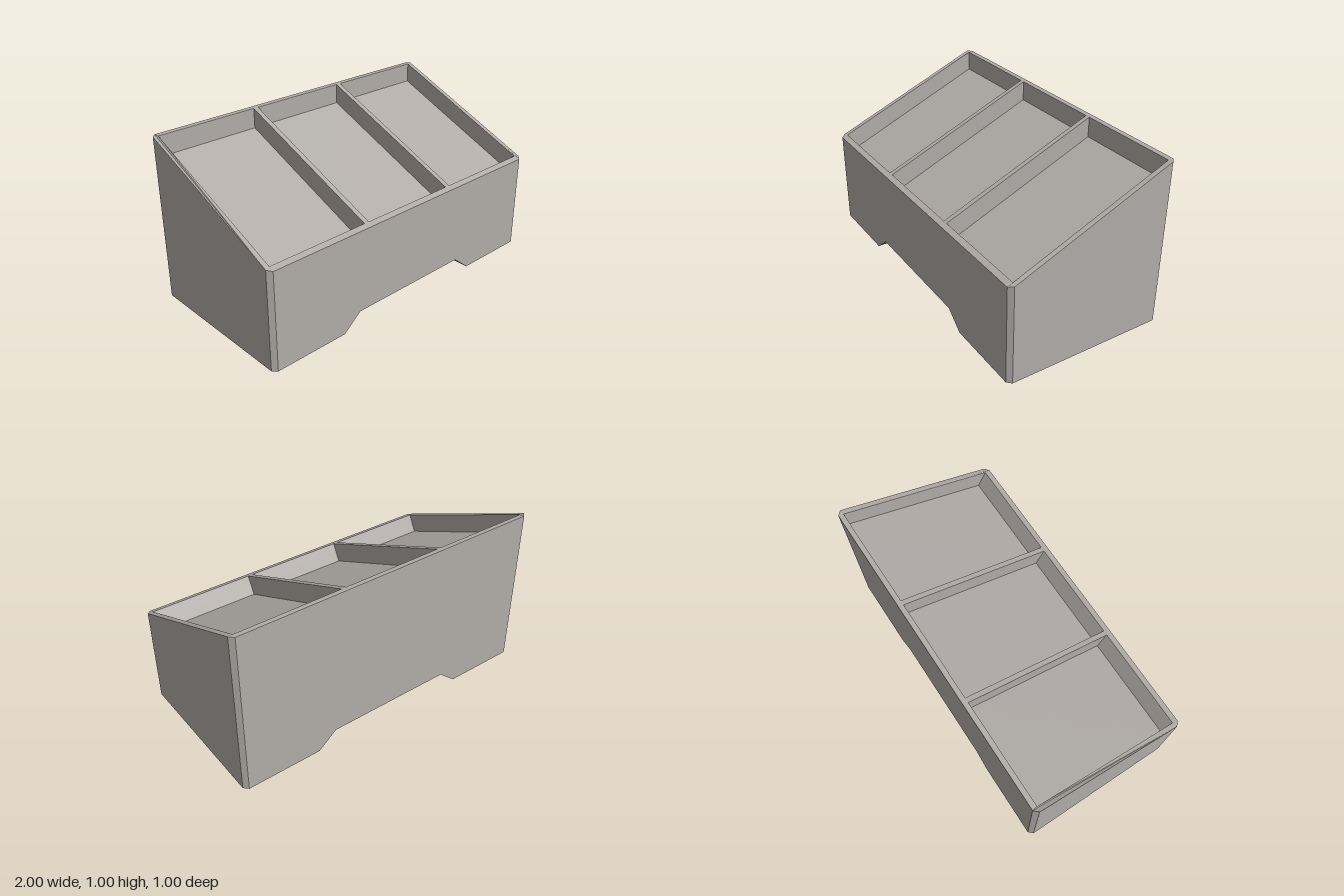
import * as THREE from 'three';

const grey = new THREE.MeshStandardMaterial({ color: 0xb0aba7 });
grey.name = 'warm grey';

// Height of the sloped rim, with a nearly flat lip at the front and a flat one at the back
const rimY = (z) => (z > 0.475 ? 0.6 - (z - 0.475) * 0.28 : Math.min(1, 0.6 + (0.475 - z) * 0.421));
// Height of the underside, raised in the middle
const baseY = (x) => THREE.MathUtils.clamp(((0.515 - Math.abs(x)) / 0.115) * 0.095, 0, 0.095);

// Flat outline with optional holes, placed in space by a mapping rule
function panel(name, outline, map, holes = []) {
  const toPoints = (list) => list.map(([a, b]) => new THREE.Vector2(a, b));
  const shape = new THREE.Shape(toPoints(outline));
  for (const hole of holes) shape.holes.push(new THREE.Path(toPoints(hole)));
  const geometry = new THREE.ShapeGeometry(shape).toNonIndexed();
  const position = geometry.attributes.position;
  for (let i = 0; i < position.count; i++) {
    position.setXYZ(i, ...map(position.getX(i), position.getY(i)));
  }
  geometry.computeVertexNormals();
  const mesh = new THREE.Mesh(geometry, grey);
  mesh.name = name;
  return mesh;
}

const rect = (x0, y0, x1, y1) => [[x0, y0], [x1, y0], [x1, y1], [x0, y1]];

export function createModel() {
  const model = new THREE.Group();
  model.name = 'slopedBin';

  // Footprint with chamfered corners, as [x, z]
  const ring = [
    [-0.975, 0.5], [0.975, 0.5], [1, 0.475], [1, -0.475],
    [0.975, -0.5], [-0.975, -0.5], [-1, -0.475], [-1, 0.475],
  ];
  const names = ['frontWall', 'cornerChamfer', 'rightWall', 'cornerChamfer',
    'backWall', 'cornerChamfer', 'leftWall', 'cornerChamfer'];

  // Outer walls, notched at the bottom on the front and back
  ring.forEach(([px, pz], i) => {
    const [qx, qz] = ring[(i + 1) % ring.length];
    const notch = i % 4 === 0
      ? [-0.515, -0.4, 0.4, 0.515].map((x) => [(x + 0.975) / 1.95, baseY(x)])
      : [];
    const outline = [[0, 0], ...notch, [1, 0], [1, rimY(qz)], [0, rimY(pz)]];
    model.add(panel(names[i], outline, (u, y) => [px + (qx - px) * u, y, pz + (qz - pz) * u]));
  });

  // Underside: two feet, two ramps and the raised middle
  const under = (x, z) => [x, baseY(x), z];
  for (const s of [-1, 1]) {
    const foot = [[0.515, -0.5], [0.975, -0.5], [1, -0.475], [1, 0.475], [0.975, 0.5], [0.515, 0.5]];
    model.add(panel('foot', foot.map(([x, z]) => [s * x, z]), under));
    model.add(panel('notchRamp', rect(s * 0.515, -0.5, s * 0.4, 0.5), under));
  }
  model.add(panel('notchCeiling', rect(-0.4, -0.5, 0.4, 0.5), under));

  // Sloped rim with three openings
  const back = -0.47, front = 0.465;
  const bays = [[-0.97, -0.34], [-0.31, 0.31], [0.34, 0.97]];
  model.add(panel('rim', ring.map(([x, z]) => [x, -z]), (x, s) => [x, rimY(-s), s === 0 ? 0 : -s],
    bays.map(([x0, x1]) => rect(x0, -front, x1, -back))));

  // Compartments: sloping floor, upright back, leaning front
  const floorFrontZ = 0.41, floorFrontY = 0.5, floorBackY = 0.877;
  const floorY = (z) => floorFrontY + ((floorFrontZ - z) / (floorFrontZ - back)) * (floorBackY - floorFrontY);
  const leanZ = (y) => floorFrontZ + ((y - floorFrontY) / (rimY(front) - floorFrontY)) * (front - floorFrontZ);
  const side = [[front, rimY(front)], [floorFrontZ, floorFrontY], [back, floorBackY], [back, rimY(back)]];
  for (const [x0, x1] of bays) {
    const bay = new THREE.Group();
    bay.name = 'compartment';
    bay.add(
      panel('compartmentFloor', rect(x0, -floorFrontZ, x1, -back), (x, s) => [x, floorY(-s), -s]),
      panel('compartmentBack', rect(x0, floorBackY, x1, rimY(back)), (x, y) => [x, y, back]),
      panel('compartmentFront', rect(-x1, floorFrontY, -x0, rimY(front)), (x, y) => [-x, y, leanZ(y)]),
      panel('compartmentSide', side.map(([z, y]) => [-z, y]), (u, y) => [x0, y, -u]),
      panel('compartmentSide', side, (u, y) => [x1, y, u]),
    );
    model.add(bay);
  }
  return model;
}
